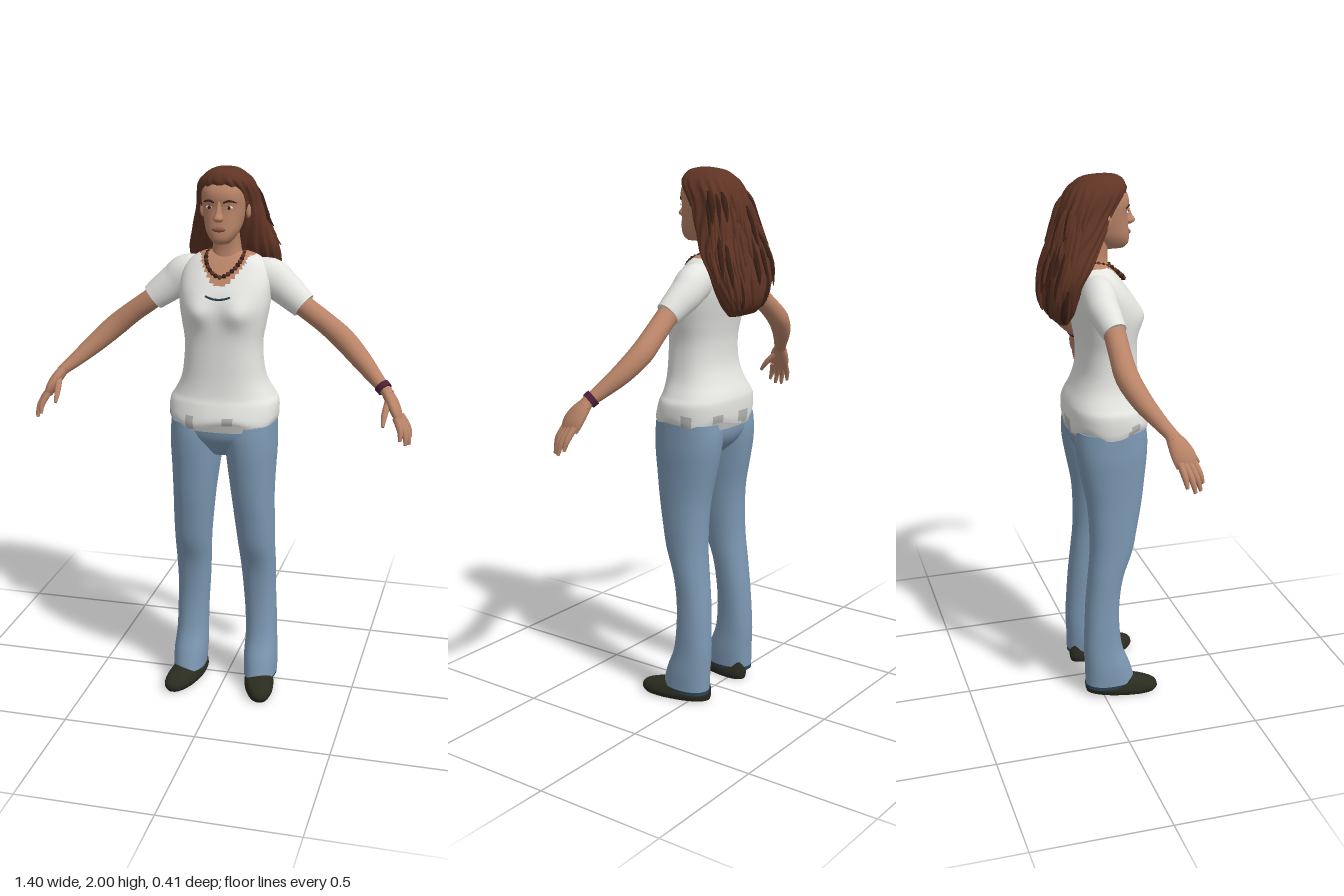
import * as THREE from 'three';

const mat = (name, color) => {
  const m = new THREE.MeshStandardMaterial({ color });
  m.name = name;
  return m;
};
const V3 = (x, y, z) => new THREE.Vector3(x, y, z);

// Catmull-Rom interpolation through rows of numbers of equal length, t in 0..1
function sample(rows, t) {
  const f = t * (rows.length - 1), i = Math.min(Math.floor(f), rows.length - 2), u = f - i;
  const at = k => rows[Math.max(0, Math.min(rows.length - 1, k))];
  const [a, b, c, d] = [at(i - 1), at(i), at(i + 1), at(i + 2)];
  return b.map((_, k) => b[k] + 0.5 * u * (c[k] - a[k]
    + u * (2 * a[k] - 5 * b[k] + 4 * c[k] - d[k] + u * (3 * (b[k] - c[k]) + d[k] - a[k]))));
}

// Skin closed rings into a capped surface; pick() chooses a material group per quad
function skinRings(rings, pick = () => 0) {
  const s = rings[0].length, n = rings.length, pos = [], buckets = [[], [], []];
  rings.forEach(r => r.forEach(p => pos.push(p.x, p.y, p.z)));
  for (let i = 0; i < n - 1; i++) for (let j = 0; j < s; j++) {
    const k = (j + 1) % s, a = i * s + j, b = a + s, c = i * s + k, d = c + s;
    const mid = rings[i][j].clone().add(rings[i + 1][k]).multiplyScalar(0.5);
    buckets[pick(mid)].push(a, b, c, c, b, d);
  }
  [rings[0], rings[n - 1]].forEach((r, e) => {
    const base = pos.length / 3, c = V3(0, 0, 0);
    r.forEach(p => { pos.push(p.x, p.y, p.z); c.add(p); });
    c.divideScalar(s);
    pos.push(c.x, c.y, c.z);
    for (let j = 0; j < s; j++) {
      const k = base + (j + 1) % s;
      buckets[pick(c)].push(base + s, ...(e ? [k, base + j] : [base + j, k]));
    }
  });
  const g = new THREE.BufferGeometry(), used = buckets.filter(b => b.length);
  g.setAttribute('position', new THREE.Float32BufferAttribute(pos, 3));
  g.setIndex(buckets.flat());
  if (used.length > 1) {
    let start = 0;
    buckets.forEach((b, m) => { g.addGroup(start, b.length, m); start += b.length; });
  }
  g.computeVertexNormals();
  return g;
}

// Point on a superellipse section; row = [y, halfWidth, zFront, zBack, centreX]
function onSection([y, hw, zf, zb, cx = 0], a, n) {
  const c = Math.cos(a), s = Math.sin(a), pw = v => Math.sign(v) * Math.abs(v) ** (2 / n);
  return V3(cx + hw * pw(c), y, (zf + zb) / 2 + (zf - zb) / 2 * pw(s));
}

// Upright loft through rows listed from the bottom up
function loft(rows, { n = 2.2, seg = 32, sub = 4, deform, pick } = {}) {
  const steps = (rows.length - 1) * sub, rings = [];
  for (let i = 0; i <= steps; i++) {
    const row = sample(rows, i / steps);
    rings.push(Array.from({ length: seg }, (_, j) => {
      const a = j / seg * Math.PI * 2, p = onSection(row, a, n);
      deform?.(p, a, row);
      return p;
    }));
  }
  return skinRings(rings, pick);
}

// Tapered limb along points [x, y, z, radius, optional radius towards z]
function limb(points, seg = 16, sub = 4) {
  const pts = points.map(([x, y, z, r, rz = r]) => [x, y, z, r, rz]);
  const steps = (pts.length - 1) * sub, rings = [];
  for (let i = 0; i <= steps; i++) {
    const t = i / steps, [x, y, z, r, rz] = sample(pts, t);
    const [ax, ay, az] = sample(pts, Math.max(0, t - 0.01)), [bx, by, bz] = sample(pts, Math.min(1, t + 0.01));
    const T = V3(bx - ax, by - ay, bz - az).normalize();
    const V = V3(0, 0, 1).addScaledVector(T, -T.z).normalize(), U = T.clone().cross(V);
    rings.push(Array.from({ length: seg }, (_, j) => {
      const a = j / seg * Math.PI * 2;
      return V3(x, y, z).addScaledVector(U, Math.cos(a) * r).addScaledVector(V, Math.sin(a) * rz);
    }));
  }
  return skinRings(rings);
}

function mirrored(geo) {
  const g = geo.clone().scale(-1, 1, 1), ix = g.index.array;
  for (let i = 0; i < ix.length; i += 3) [ix[i], ix[i + 1]] = [ix[i + 1], ix[i]];
  g.computeVertexNormals();
  return g;
}

const blob = (x, y, z, rx, ry, rz) => new THREE.SphereGeometry(1, 16, 12).scale(rx, ry, rz).translate(x, y, z);

export function createModel() {
  const model = new THREE.Group();
  model.name = 'woman';
  const skin = mat('skin', 0xb98468), hair = mat('hair brown', 0x5f3424), dark = mat('dark brown', 0x3a2016),
    shirt = mat('shirt white', 0xe4e4e1), fold = mat('fold grey', 0xb4b6b4), denim = mat('denim blue', 0x7d99b4),
    denimDark = mat('dark denim', 0x2c4253), shoe = mat('shoe black', 0x2b2c20),
    purple = mat('bracelet purple', 0x4c2038), lip = mat('lip red', 0x8f5547);
  const add = (name, geo, m) => {
    const o = new THREE.Mesh(geo, m);
    o.name = name;
    model.add(o);
  };
  const both = (name, geo, m) => { add('left' + name, geo, m); add('right' + name, mirrored(geo), m); };

  // Shoes, turned slightly outwards
  both('Shoe', loft([[0, .05, .205, -.055], [.02, .058, .215, -.06], [.045, .052, .2, -.06], [.065, .045, .13, -.055],
    [.1, .04, .07, -.05]], { deform: p => { p.x += .13 + .2 * p.z; } }), shoe);

  // Trousers
  both('TrouserLeg', loft([[.05, .062, .13, -.065, .142], [.12, .064, .11, -.066, .14], [.2, .06, .08, -.07, .138],
    [.3, .06, .068, -.066, .135], [.4, .062, .07, -.06, .13], [.5, .066, .085, -.05, .127], [.6, .069, .12, -.042, .123],
    [.7, .074, .14, -.042, .118], [.8, .079, .158, -.05, .112], [.9, .087, .17, -.07, .107], [.98, .094, .178, -.085, .104],
    [1.04, .097, .18, -.09, .1], [1.09, .096, .175, -.085, .1]]), denim);
  both('TrouserHem', loft([[.035, .059, .11, -.064, .142], [.06, .06, .125, -.063, .142]]), denimDark);
  add('trouserSeat', loft([[.96, .05, .12, -.03], [1, .14, .155, -.07], [1.04, .192, .18, -.09], [1.09, .194, .188, -.094]]), denim);

  // Shirt body with bust, wavy hem and scooped neckline
  add('shirtBody', loft([[1.085, .197, .193, -.1], [1.11, .202, .198, -.105], [1.16, .2, .183, -.105], [1.19, .183, .172, -.098],
    [1.24, .158, .165, -.075], [1.3, .146, .161, -.057], [1.38, .142, .158, -.055], [1.45, .153, .158, -.065],
    [1.51, .163, .155, -.078], [1.56, .166, .143, -.088], [1.6, .165, .12, -.09], [1.64, .155, .09, -.085],
    [1.67, .13, .068, -.075], [1.69, .095, .05, -.06], [1.7, .06, .04, -.045]], {
    n: 2.4, seg: 72, sub: 5,
    deform: (p, a) => {
      if (p.z > .05) p.z += .026 * Math.exp(-(((Math.abs(p.x) - .075) / .05) ** 2) - ((p.y - 1.5) / .05) ** 2);
      if (p.y < 1.17) p.y += .012 * Math.sin(a * 5 + 1) * (1.17 - p.y) / .085;
    },
    pick: p => p.z > 0 && p.y > 1.592 + 12 * p.x * p.x || p.y > 1.688 ? 1
      : p.y < 1.125 && Math.sin(p.x * 43 + p.z * 31) > .55 ? 2 : 0,
  }), [shirt, skin, fold]);
  add('shirtUnderHem', loft([[1.068, .196, .19, -.098], [1.1, .196, .19, -.098]], { n: 2.4 }), fold);
  both('Sleeve', limb([[.07, 1.61, -.015, .055, .05], [.15, 1.605, -.017, .07, .06], [.2, 1.573, -.017, .063, .058],
    [.25, 1.535, -.007, .055, .05], [.282, 1.51, 0, .049, .044]], 24), shirt);
  add('shirtStitching', new THREE.TubeGeometry(new THREE.QuadraticBezierCurve3(V3(-.045, 1.558, .145), V3(0, 1.54, .16),
    V3(.045, 1.558, .145)), 16, .004, 6), denimDark);

  // Arms and hands
  both('Arm', limb([[.22, 1.558, -.01, .042], [.28, 1.51, 0, .039], [.36, 1.452, -.002, .039], [.43, 1.395, .002, .041],
    [.5, 1.332, .033, .036], [.56, 1.278, .074, .027], [.597, 1.247, .1, .021, .024], [.612, 1.232, .108, .02, .028]]), skin);
  both('Palm', limb([[.6, 1.245, .101, .018, .023], [.622, 1.215, .117, .021, .036], [.642, 1.18, .132, .019, .042],
    [.655, 1.15, .138, .012, .036]]), skin);
  const fingers = [
    [[.645, 1.165, .163], [.664, 1.125, .18], [.666, 1.09, .192]], [[.652, 1.16, .148], [.678, 1.115, .166], [.685, 1.072, .178]],
    [[.656, 1.16, .131], [.685, 1.115, .146], [.696, 1.07, .156]], [[.657, 1.165, .114], [.685, 1.125, .122], [.696, 1.088, .128]],
    [[.613, 1.215, .128], [.606, 1.175, .17], [.605, 1.14, .197]],
  ];
  fingers.forEach((f, i) => both(i < 4 ? 'Finger' + (i + 1) : 'Thumb',
    limb(f.map((p, k) => [...p, [.0125, .011, .006][k]]), 10), skin));
  add('bracelet', limb([[.582, 1.26, .09, .028, .03], [.597, 1.247, .1, .027, .03]], 20, 2), purple);

  // Neck and head
  add('neck', loft([[1.64, .075, .06, -.06], [1.69, .056, .055, -.045], [1.73, .05, .056, -.04], [1.79, .05, .065, -.04]]), skin);
  add('head', loft([[1.738, .026, .118, .02], [1.755, .042, .133, .01], [1.785, .06, .134, -.01], [1.82, .07, .13, -.04],
    [1.865, .079, .126, -.06], [1.9, .081, .132, -.06], [1.93, .079, .126, -.06], [1.96, .068, .104, -.05],
    [1.985, .04, .08, -.02]], { n: 2.3 }), skin);
  add('nose', loft([[1.82, .012, .145, .1], [1.832, .018, .16, .1], [1.852, .011, .148, .1], [1.89, .008, .132, .1]], { seg: 16 }), skin);
  add('mouth', blob(0, 1.793, .131, .025, .009, .01), lip);
  both('Eye', blob(.035, 1.868, .118, .014, .006, .006), shirt);
  both('Iris', blob(.035, 1.868, .122, .006, .006, .004), dark);
  both('Eyebrow', limb([[.016, 1.886, .128, .003], [.036, 1.892, .125, .004], [.058, 1.885, .109, .002]], 8), dark);
  both('Ear', blob(.083, 1.85, .03, .01, .03, .018), skin);

  // Long hair: a rippled mass that falls behind the shoulders
  const hairRows = [[1.485, .075, -.1, -.14], [1.52, .108, -.08, -.172], [1.57, .138, -.067, -.183], [1.64, .16, -.05, -.178],
    [1.7, .16, -.012, -.163], [1.76, .142, .018, -.148], [1.82, .126, .045, -.133], [1.87, .113, .068, -.12],
    [1.91, .106, .094, -.105], [1.94, .097, .114, -.09], [1.965, .08, .118, -.07], [1.99, .048, .1, -.035], [2, .012, .06, .02]];
  add('hair', loft(hairRows, {
    n: 2.5, seg: 108,
    deform: (p, a, row) => {
      const k = 1 + (row[0] < 1.96 ? .03 : .01) * Math.sin(a * 18 + 5 * Math.sin(row[0] * 14)), cz = (row[2] + row[3]) / 2;
      p.x *= k;
      p.z = cz + (p.z - cz) * k;
    },
  }), hair);

  // Loose pointed locks over the back and sides
  let seed = 7;
  const rnd = () => (seed = seed * 16807 % 2147483647) / 2147483647;
  const surface = (t, a, k) => {
    const row = sample(hairRows, Math.max(0, t)), p = onSection(row, a, 2.5), cz = (row[2] + row[3]) / 2;
    return [p.x * k, p.y, cz + (p.z - cz) * k];
  };
  for (let i = 0; i < 44; i++) {
    const a = Math.PI * (1.04 + .92 * ((i * 7) % 44) / 43), t = .24 + .5 * rnd(), w = .008 + .006 * rnd();
    add('hairLock' + (i + 1), limb([[...surface(t, a, .97), w * .4], [...surface(t - .08, a, 1), w],
      [...surface(t - .16, a, 1.03), w * .8], [...surface(t - .21, a, 1.11), .001]], 6, 2), i % 3 ? hair : dark);
  }

  // Beaded necklace
  const loop = new THREE.CatmullRomCurve3([V3(0, 1.622, .117), V3(.04, 1.642, .1), V3(.066, 1.682, .05), V3(.05, 1.705, -.03),
    V3(0, 1.71, -.055), V3(-.05, 1.705, -.03), V3(-.066, 1.682, .05), V3(-.04, 1.642, .1)], true);
  add('necklaceCord', new THREE.TubeGeometry(loop, 64, .004, 6, true), dark);
  loop.getSpacedPoints(32).slice(0, 32).forEach((p, i) =>
    add('necklaceBead' + (i + 1), new THREE.SphereGeometry(.0085, 8, 6).translate(p.x, p.y, p.z), i % 2 ? dark : hair));

  return model;
}
